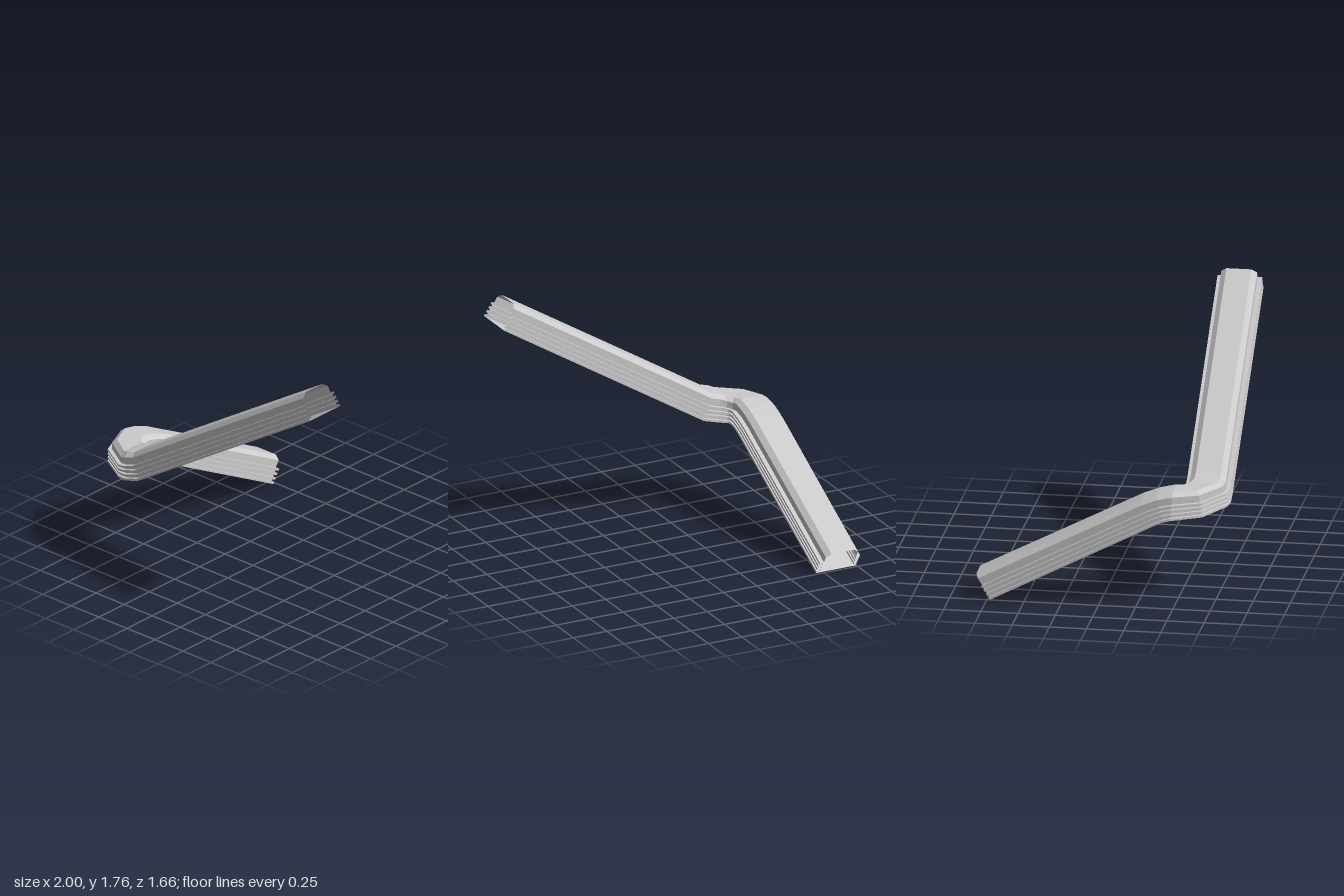
import * as THREE from 'three';

// Half cross-section: u = share of half width, v = share of height
function makeProfile() {
  const half = [];
  const teeth = 4, pitch = 0.165, thick = 0.085;
  for (let i = 0; i < teeth; i++) {
    const v = i * pitch;
    if (i > 0) half.push([0.84, v]);
    half.push([1, v], [1, v + thick]);
    half.push([i === teeth - 1 ? 0.8 : 0.84, v + thick]);
  }
  half.push([0.8, 0.85], [0.56, 1]);
  const mirrored = half.map(([u, v]) => [-u, v]).reverse();
  return [...half, ...mirrored];
}

// Stations along the bent run: outer bottom edge, inner bottom edge, up vector
const stations = [
  [[0.995, 1.61, 0.79], [0.995, 1.61, 0.49], [-0.1, 0.155, 0]],
  [[-0.51, 0.67, 0.825], [-0.51, 0.67, 0.525], [-0.09, 0.16, 0]],
  [[-0.62, 0.638, 0.83], [-0.62, 0.638, 0.525], [-0.04, 0.175, 0]],
  [[-0.69, 0.63, 0.815], [-0.685, 0.628, 0.51], [-0.01, 0.168, 0]],
  [[-0.91, 0.62, 0.68], [-0.7, 0.618, 0.495], [0, 0.172, 0]],
  [[-0.995, 0.612, 0.48], [-0.7, 0.612, 0.47], [0, 0.182, 0.01]],
  [[-1, 0.6, 0.43], [-0.7, 0.6, 0.43], [0, 0.17, -0.05]],
  [[-1, 0.572, 0.37], [-0.7, 0.572, 0.37], [0, 0.155, -0.1]],
  [[-1, 0, -0.73], [-0.7, 0, -0.73], [0, 0.16, -0.1]],
];

// Place the profile at one station
function makeRing([outer, inner, up], profile) {
  const o = new THREE.Vector3(...outer), n = new THREE.Vector3(...inner);
  const rise = new THREE.Vector3(...up);
  return profile.map(([u, v]) => n.clone().lerp(o, (u + 1) / 2).addScaledVector(rise, v));
}

export function createModel() {
  const group = new THREE.Group();
  group.name = 'bentRailing';
  const profile = makeProfile();
  const rings = stations.map((s) => makeRing(s, profile));

  // Skin neighbouring rings with quads; both ends stay open
  const positions = [];
  const count = profile.length;
  for (let i = 0; i < rings.length - 1; i++) {
    for (let j = 0; j < count; j++) {
      const k = (j + 1) % count;
      const a = rings[i][j], b = rings[i][k], c = rings[i + 1][k], d = rings[i + 1][j];
      for (const p of [a, b, c, a, c, d]) positions.push(p.x, p.y, p.z);
    }
  }
  const geometry = new THREE.BufferGeometry();
  geometry.setAttribute('position', new THREE.Float32BufferAttribute(positions, 3));
  geometry.computeVertexNormals();

  const material = new THREE.MeshStandardMaterial({
    color: 0xcccccc, flatShading: true, side: THREE.DoubleSide,
  });
  const rail = new THREE.Mesh(geometry, material);
  rail.name = 'ribbedRail';
  group.add(rail);
  return group;
}
